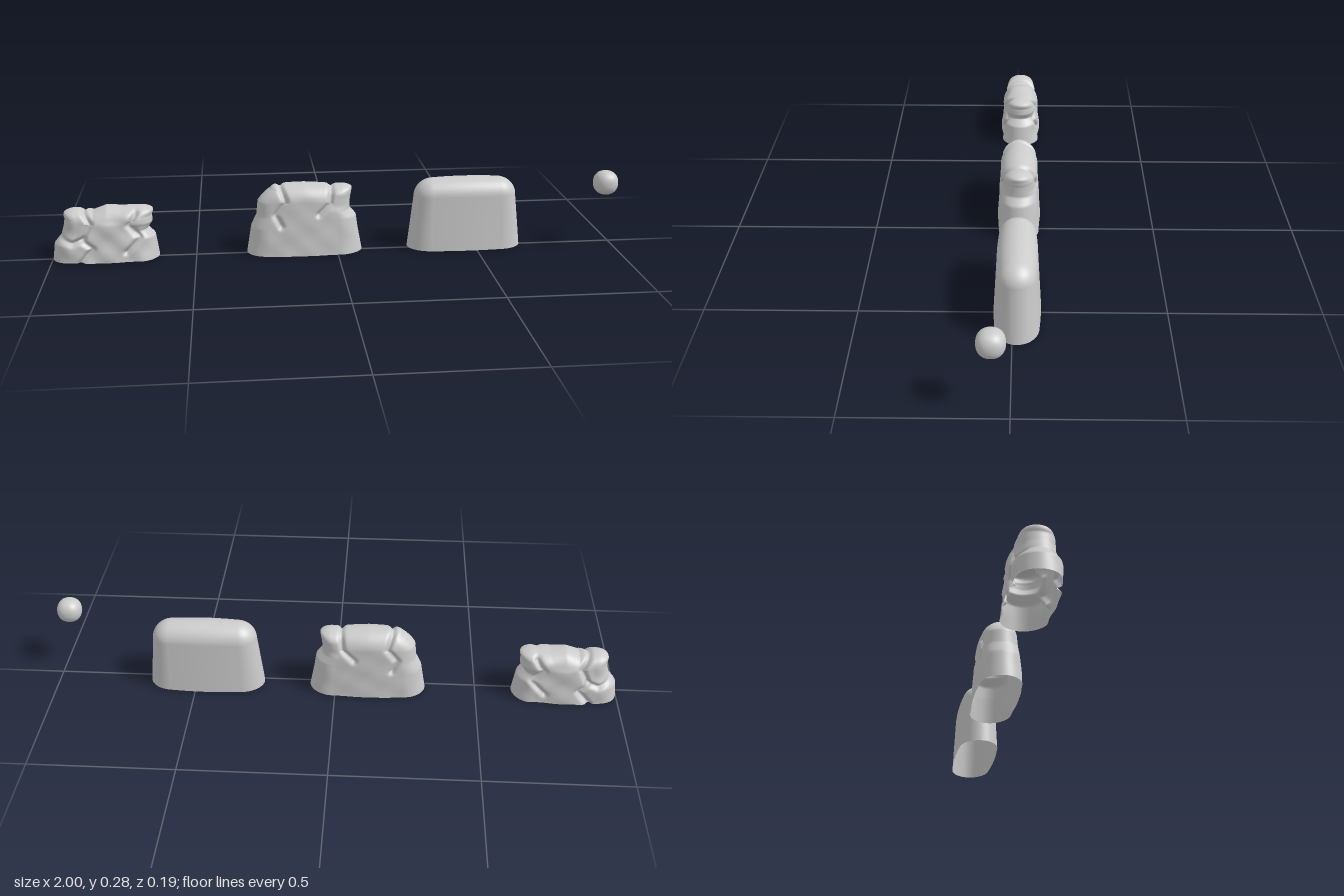
import * as THREE from 'three';
import { mergeVertices } from 'three/addons/utils/BufferGeometryUtils.js';

const material = new THREE.MeshStandardMaterial({ color: 0xcccccc, side: THREE.DoubleSide });

// Linear lookup in a list of [key, value] pairs with rising keys
function lookup(list, k) {
  if (k <= list[0][0]) return list[0][1];
  for (let i = 1; i < list.length; i++) {
    const [k0, v0] = list[i - 1], [k1, v1] = list[i];
    if (k <= k1) return v0 + (v1 - v0) * (k - k0) / (k1 - k0);
  }
  return list[list.length - 1][1];
}

// Distance from a point to a zigzag line
function lineDistance(x, y, line) {
  let best = Infinity;
  for (let i = 1; i < line.length; i++) {
    const [ax, ay] = line[i - 1], [bx, by] = line[i];
    const dx = bx - ax, dy = by - ay;
    const t = THREE.MathUtils.clamp(((x - ax) * dx + (y - ay) * dy) / (dx * dx + dy * dy), 0, 1);
    best = Math.min(best, Math.hypot(x - ax - t * dx, y - ay - t * dy));
  }
  return best;
}

// Outline of the wall in plan: straight sides with elliptical ends
const STRAIGHT = 0.12, SIDE = 56, END = 36;
function planPoints() {
  const pts = [];
  for (const s of [1, -1]) {
    for (let i = 0; i < END; i++) {
      const a = -Math.PI / 2 + Math.PI * i / END;
      pts.push({ mid: s * STRAIGHT, ex: s * Math.cos(a), ez: s * Math.sin(a) });
    }
    for (let i = 0; i < SIDE; i++) {
      pts.push({ mid: s * STRAIGHT * (1 - 2 * i / SIDE), ex: 0, ez: s });
    }
  }
  return pts;
}

// Heights with end length and half depth: tapered body, then a rounded crown
function ringList() {
  const rings = [];
  for (let i = 0; i <= 44; i++) {
    const t = i / 44;
    rings.push({ y: 0.002 + 0.19 * t, end: 0.086 - 0.022 * t, depth: 0.077 - 0.011 * t });
  }
  for (let i = 1; i <= 20; i++) {
    const a = Math.PI / 2 * i / 20, c = Math.cos(a);
    rings.push({ y: 0.192 + 0.058 * Math.sin(a), end: 0.064 * c, depth: 0.066 * c });
  }
  return rings;
}

function shelterGeometry(damage) {
  const plan = planPoints(), rings = ringList(), n = plan.length;
  const pos = [], index = [];
  rings.forEach((r, j) => {
    for (const p of plan) {
      let x = p.mid + p.ex * r.end;
      let z = p.ez * r.depth * (1 - 0.07 * (p.mid / STRAIGHT) ** 2);
      let y = r.y + 0.008 * Math.max(0, (r.y - 0.15) / 0.1) * (1 - (x / 0.18) ** 2);
      if (damage) {
        // worn outline
        y *= lookup(damage.top, x);
        x *= lookup(x < 0 ? damage.left : damage.right, y);
        // cracks and the sunken slab beside each one
        for (const c of damage.cracks) {
          const f = Math.exp(-((lineDistance(x, y, c.line) / 0.009) ** 2));
          z *= 1 - 0.22 * f;
          if (j > 44) y -= 0.008 * f;
        }
        for (const [cx, cy, rx, ry, depth] of damage.dents) {
          const f = Math.exp(-(((x - cx) / rx) ** 4) - ((y - cy) / ry) ** 4);
          z *= 1 - depth * f;
        }
        // uneven faces
        z *= 1 + damage.rough * Math.sin(x * 47 + 1) * Math.sin(y * 62 + x * 12);
      }
      pos.push(x, y, z);
    }
  });
  for (let j = 0; j < rings.length - 1; j++) {
    for (let i = 0; i < n; i++) {
      const a = j * n + i, b = j * n + (i + 1) % n;
      index.push(a, a + n, b, b, a + n, b + n);
    }
  }
  const g = new THREE.BufferGeometry();
  g.setAttribute('position', new THREE.Float32BufferAttribute(pos, 3));
  g.setIndex(index);
  g.computeVertexNormals();
  return g;
}

// Slightly squared ball from an inflated cube
function ballGeometry(radius) {
  let g = new THREE.BoxGeometry(2, 2, 2, 14, 14, 14);
  g.deleteAttribute('normal');
  g.deleteAttribute('uv');
  g = mergeVertices(g);
  const p = g.attributes.position, v = new THREE.Vector3(), e = 2.25;
  for (let i = 0; i < p.count; i++) {
    v.fromBufferAttribute(p, i);
    for (const k of ['x', 'y', 'z']) v[k] = Math.tan(v[k] * Math.PI / 4);
    const len = (Math.abs(v.x) ** e + Math.abs(v.y) ** e + Math.abs(v.z) ** e) ** (1 / e);
    v.multiplyScalar(radius / len);
    p.setXYZ(i, v.x, v.y, v.z);
  }
  g.computeVertexNormals();
  return g;
}

const crackedDamage = {
  top: [[-0.15, 0.97], [-0.09, 0.98], [0, 0.98], [0.1, 0.955], [0.16, 0.98]],
  left: [[0, 1], [0.1, 0.975], [0.14, 0.9], [0.19, 0.9], [0.215, 0.83], [0.235, 0.78], [0.25, 0.85]],
  right: [[0, 1], [0.09, 0.97], [0.132, 0.965], [0.158, 0.86], [0.2, 0.89], [0.22, 0.96], [0.235, 1.06]],
  cracks: [
    { line: [[-0.09, 0.26], [-0.068, 0.2], [-0.105, 0.15], [-0.085, 0.11]] },
    { line: [[0.095, 0.25], [0.088, 0.19], [0.048, 0.15]] },
  ],
  dents: [[0.14, 0.19, 0.05, 0.025, 0.1], [-0.15, 0.19, 0.05, 0.06, 0.08]],
  rough: 0.015,
};

const ruinedDamage = {
  top: [[-0.19, 0.74], [-0.14, 0.72], [-0.07, 0.7], [-0.045, 0.67], [0.01, 0.735], [0.06, 0.72], [0.16, 0.74]],
  left: [[0, 0.9], [0.06, 0.9], [0.09, 0.79], [0.12, 0.76], [0.15, 0.75], [0.17, 0.83]],
  right: [[0, 0.9], [0.08, 0.9], [0.107, 0.79], [0.13, 0.89], [0.155, 0.9], [0.175, 1.03]],
  cracks: [
    { line: [[-0.075, 0.19], [-0.045, 0.14], [-0.075, 0.08], [-0.04, 0.05], [-0.085, 0]] },
    { line: [[0.11, 0.17], [0.085, 0.13], [0.125, 0.085], [0.075, 0.035]] },
    { line: [[-0.15, 0.085], [-0.11, 0.07], [-0.07, 0.085]] },
  ],
  dents: [[0.14, 0.11, 0.04, 0.02, 0.12], [-0.12, 0.13, 0.05, 0.04, 0.12], [0.02, 0.16, 0.05, 0.02, 0.07]],
  rough: 0.045,
};

export function createModel() {
  const group = new THREE.Group();
  const add = (name, geometry, x, y, z) => {
    const mesh = new THREE.Mesh(geometry, material);
    mesh.name = name;
    mesh.position.set(x, y, z);
    group.add(mesh);
  };
  add('ruinedShelter', shelterGeometry(ruinedDamage), -0.815, 0, -0.015);
  add('crackedShelter', shelterGeometry(crackedDamage), -0.115, 0, -0.015);
  add('intactShelter', shelterGeometry(null), 0.4625, 0, -0.015);
  add('ball', ballGeometry(0.043), 0.957, 0.241, 0.054);
  return group;
}
